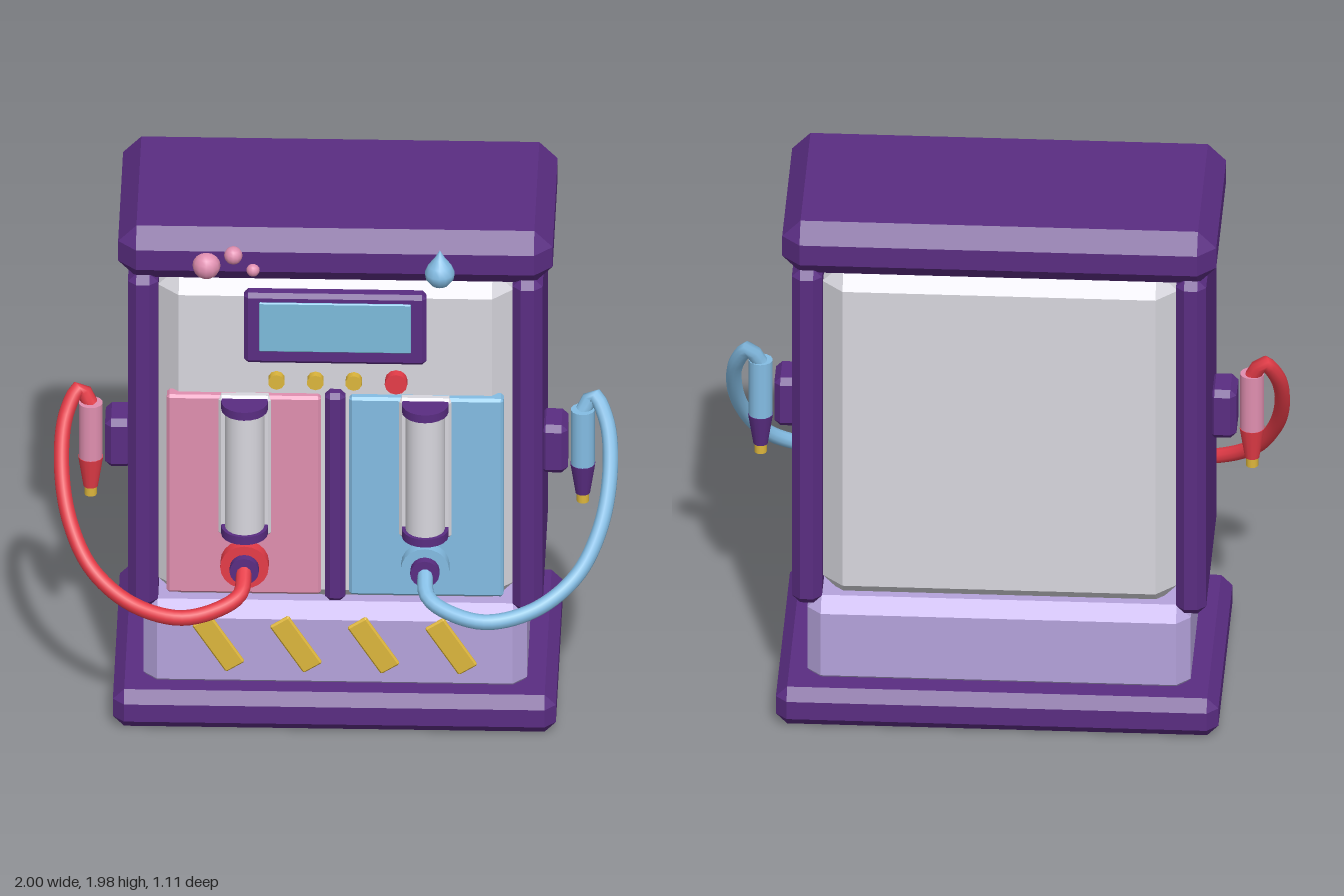
import * as THREE from 'three';
import { ConvexGeometry } from 'three/addons/geometries/ConvexGeometry.js';

const paint = (name, color) => {
  const m = new THREE.MeshStandardMaterial({ color });
  m.name = name;
  return m;
};

export function createModel() {
  const purple = paint('purple', 0x5a2d82);
  const lavender = paint('lavender', 0xb5a3dc);
  const grey = paint('light grey', 0xd8d7de);
  const pink = paint('pink', 0xe08fb0);
  const blue = paint('sky blue', 0x84bde4);
  const glass = paint('screen blue', 0x7dbbdb);
  const red = paint('red', 0xe63c48);
  const yellow = paint('yellow', 0xddb63c);

  const pump = new THREE.Group();
  pump.name = 'fuelPump';

  const add = (name, geometry, material, x = 0, y = 0, z = 0) => {
    const mesh = new THREE.Mesh(geometry, material);
    mesh.name = name;
    mesh.position.set(x, y, z);
    pump.add(mesh);
    return mesh;
  };

  // Box with chamfered edges, given by its minimum and maximum on each axis
  const block = (name, material, [x0, x1], [y0, y1], [z0, z1], bevel) => {
    const h = [(x1 - x0) / 2, (y1 - y0) / 2, (z1 - z0) / 2];
    const points = [];
    for (const sx of [-1, 1]) for (const sy of [-1, 1]) for (const sz of [-1, 1]) {
      for (let axis = 0; axis < 3; axis++) {
        const d = h.map((v, i) => (i === axis ? v : v - bevel));
        points.push(new THREE.Vector3(sx * d[0], sy * d[1], sz * d[2]));
      }
    }
    return add(name, new ConvexGeometry(points), material, (x0 + x1) / 2, (y0 + y1) / 2, (z0 + z1) / 2);
  };

  // Disc whose axis points to the front
  const disc = (name, material, radius, sides, x, y, z0, z1) => {
    const g = new THREE.CylinderGeometry(radius, radius, z1 - z0, sides).rotateX(Math.PI / 2);
    return add(name, g, material, x, y, (z0 + z1) / 2);
  };

  // Cabinet
  block('base', purple, [-0.785, 0.785], [0, 0.15], [-0.56, 0.4], 0.04);
  block('plinth', lavender, [-0.68, 0.68], [0.11, 0.46], [-0.45, 0.3], 0.05);
  block('body', grey, [-0.63, 0.63], [0.43, 1.78], [-0.41, 0.25], 0.075);
  block('canopy', purple, [-0.77, 0.77], [1.77, 1.98], [-0.455, 0.3], 0.065);

  // Display
  block('displayFrame', purple, [-0.323, 0.323], [1.445, 1.73], [0.22, 0.283], 0.015);
  block('displayScreen', glass, [-0.27, 0.27], [1.5, 1.7], [0.27, 0.29], 0.004);
  for (const x of [-0.208, -0.07, 0.066]) disc('button', yellow, 0.03, 10, x, 1.37, 0.24, 0.28);
  disc('redButton', red, 0.04, 12, 0.216, 1.37, 0.24, 0.285);

  block('divider', purple, [-0.036, 0.036], [0.48, 1.33], [0.22, 0.297], 0.018);

  // Both dispensing sides
  for (const s of [-1, 1]) {
    const left = s > 0;
    const main = left ? blue : pink;
    const hoseColor = left ? blue : red;
    const span = (a, b) => (left ? [a, b] : [-b, -a]);

    block('sidePanel', purple, span(0.628, 0.735), [0.43, 1.79], [-0.435, 0.28], 0.03);
    block('frontPanel', main, span(0.05, 0.597), [0.5, 1.31], [0.22, 0.28], 0.01);

    // Sight gauge
    block('gaugePlate', grey, span(0.222, 0.418), [0.74, 1.312], [0.24, 0.29], 0.015);
    const gx = s * 0.32;
    add('gaugeTube', new THREE.CylinderGeometry(0.07, 0.07, 0.49, 20), grey, gx, 1.03, 0.3);
    for (const y of [0.777, 1.287]) {
      add('gaugeCap', new THREE.CylinderGeometry(0.083, 0.083, 0.032, 20), purple, gx, y, 0.3);
    }

    // Hose outlet
    disc('outletCollar', hoseColor, 0.086, 20, gx, 0.635, 0.25, 0.325);
    disc('outletSocket', purple, 0.052, 16, gx, 0.635, 0.3, 0.355);

    // Hose
    const path = [
      [0.32, 0.635, 0.335], [0.333, 0.585, 0.43], [0.42, 0.553, 0.49], [0.55, 0.54, 0.522],
      [0.72, 0.57, 0.475], [0.86, 0.66, 0.39], [0.94, 0.8, 0.295], [0.972, 0.97, 0.185],
      [0.958, 1.12, 0.095], [0.91, 1.2, 0.045], [0.872, 1.14, 0.055],
    ].map(([x, y, z]) => new THREE.Vector3(s * x, y, z));
    const curve = new THREE.CatmullRomCurve3(path);
    add('hose', new THREE.TubeGeometry(curve, 56, 0.028, 10), hoseColor);

    // Holster and nozzle
    block('holster', purple, span(0.72, 0.82), [0.92, 1.115], [-0.025, 0.135], 0.022);
    const nx = s * 0.872;
    add('nozzleGrip', new THREE.CylinderGeometry(0.043, 0.043, 0.22, 14), main, nx, 1.04, 0.06);
    add('nozzleCone', new THREE.CylinderGeometry(0.045, 0.026, 0.12, 14), left ? purple : red, nx, 0.87, 0.06);
    add('nozzleTip', new THREE.CylinderGeometry(0.022, 0.022, 0.04, 12), yellow, nx, 0.795, 0.06);
  }

  // Slanted stripes on the plinth
  for (let i = 0; i < 4; i++) {
    const stripe = block('stripe', yellow, [-0.04, 0.04], [-0.112, 0.112], [0.292, 0.31], 0.006);
    stripe.position.x = -0.413 + i * 0.275;
    stripe.position.y = 0.31;
    stripe.rotation.z = 0.57;
  }

  // Bubbles and droplet on the canopy
  for (const [x, y, r] of [[-0.455, 1.86, 0.05], [-0.36, 1.902, 0.033], [-0.29, 1.843, 0.024]]) {
    add('bubble', new THREE.SphereGeometry(r, 12, 8), pink, x, y, 0.302);
  }
  const drop = [[0, -0.057], [0.03, -0.049], [0.05, -0.025], [0.054, 0], [0.042, 0.028], [0.02, 0.055], [0.008, 0.075], [0, 0.09]];
  add('droplet', new THREE.LatheGeometry(drop.map(([x, y]) => new THREE.Vector2(x, y)), 14), blue, 0.372, 1.847, 0.305);

  return pump;
}
